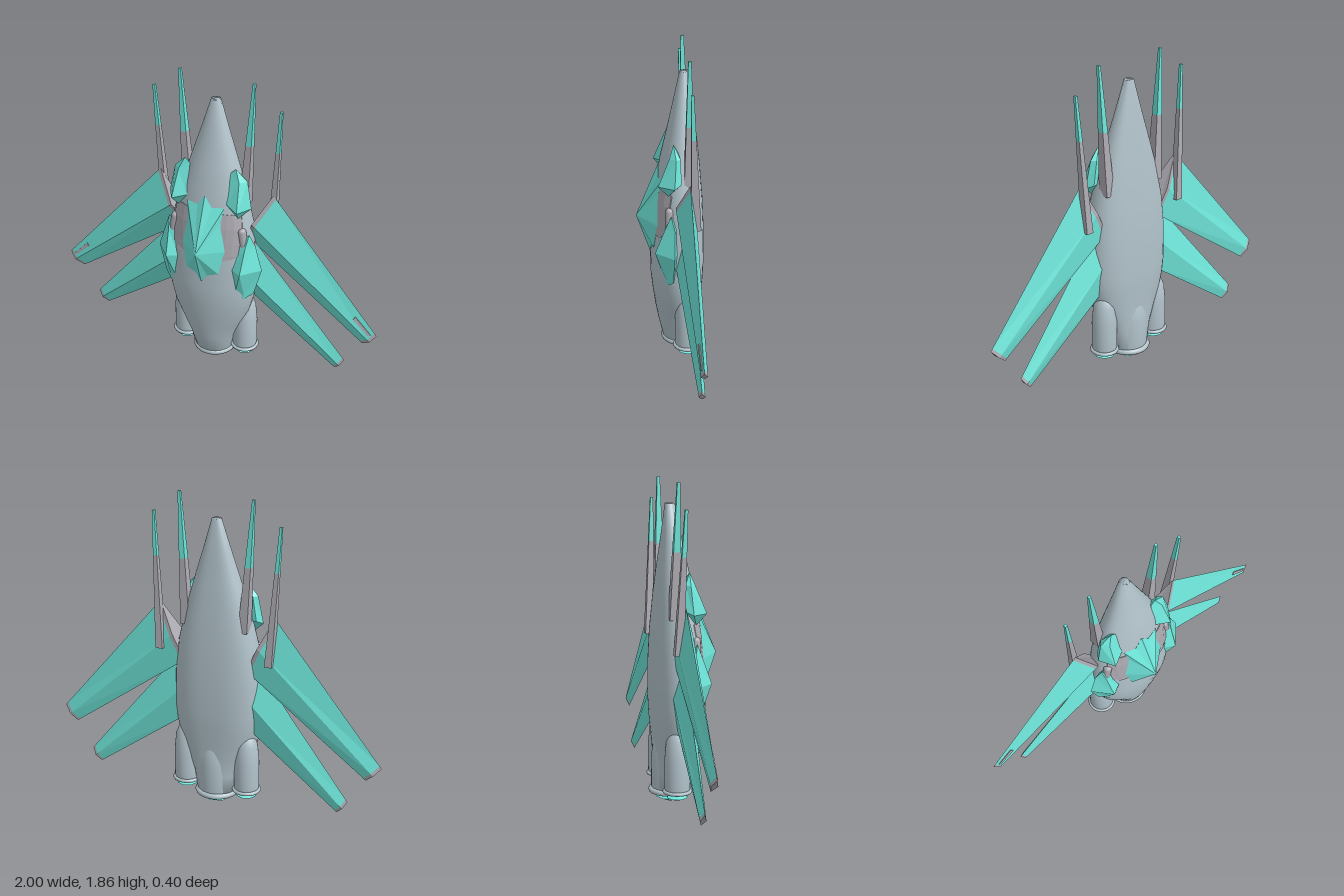
import * as THREE from 'three';

const V = (x, y, z) => new THREE.Vector3(x, y, z);
const material = (name, color) => {
  const m = new THREE.MeshStandardMaterial({ color });
  m.name = name;
  return m;
};

// Skins a series of equal-length rings, closes both ends and turns the faces outward.
function loft(rings, smooth = false) {
  const n = rings[0].length;
  const pts = rings.flat();
  let tris = [];
  for (let r = 0; r < rings.length - 1; r++) {
    for (let i = 0; i < n; i++) {
      const a = r * n + i, b = r * n + (i + 1) % n;
      tris.push([a, b, b + n], [a, b + n, a + n]);
    }
  }
  const last = (rings.length - 1) * n;
  for (let i = 1; i < n - 1; i++) tris.push([0, i + 1, i], [last, last + i, last + i + 1]);
  const same = (a, b) => pts[a].distanceToSquared(pts[b]) < 1e-12;
  tris = tris.filter(([a, b, c]) => !same(a, b) && !same(b, c) && !same(a, c));
  const centre = pts.reduce((s, p) => s.add(p), V(0, 0, 0)).divideScalar(pts.length);
  let volume = 0;
  for (const t of tris) {
    const [a, b, c] = t.map(i => pts[i].clone().sub(centre));
    volume += a.dot(b.cross(c));
  }
  if (volume < 0) tris.forEach(t => t.reverse());
  let g = new THREE.BufferGeometry().setFromPoints(pts);
  g.setIndex(tris.flat());
  if (!smooth) g = g.toNonIndexed();
  g.computeVertexNormals();
  return g;
}

// Hull stations: y, half width, front z, back z.
const stations = [
  [0.07, 0.11, 0.045, -0.17], [0.2, 0.14, 0.075, -0.165], [0.3, 0.185, 0.093, -0.165],
  [0.4, 0.23, 0.107, -0.17], [0.5, 0.255, 0.118, -0.178], [0.6, 0.265, 0.12, -0.182],
  [0.8, 0.26, 0.11, -0.182], [1.0, 0.237, 0.094, -0.173], [1.2, 0.19, 0.066, -0.157],
  [1.36, 0.14, 0.03, -0.14], [1.55, 0.08, -0.01, -0.117], [1.725, 0.027, -0.045, -0.098],
];
function station(y) {
  let k = 0;
  while (k < stations.length - 2 && stations[k + 1][0] < y) k++;
  const a = stations[k], b = stations[k + 1], t = (y - a[0]) / (b[0] - a[0]);
  return a.map((v, i) => v + (b[i] - v) * t);
}
function hullPoint(x, y, lift = 0) {
  const [, w, front, back] = station(y);
  const mid = (front + back) / 2;
  return V(x, y, mid + (front - mid) * Math.sqrt(Math.max(0, 1 - (x / w) ** 2)) + lift);
}

export function createModel() {
  const model = new THREE.Group();
  model.name = 'crystalShip';
  const hullGrey = material('hull grey', 0xb2c3cb);
  const teal = material('crystal teal', 0x6fe6da);
  const trim = material('trim grey', 0xaeacb3);
  const add = (name, geometry, mat, x = 0, y = 0, z = 0) => {
    const m = new THREE.Mesh(geometry, mat);
    m.name = name;
    m.position.set(x, y, z);
    model.add(m);
    return m;
  };
  // Faceted gem: one or more rings between a top and a bottom point.
  const gem = (name, top, rings, bottom) => {
    const n = rings[0].length;
    add(name, loft([Array(n).fill(top), ...rings, Array(n).fill(bottom)]), teal);
  };

  // Hull, rounder in front and flatter behind
  const rings = stations.map(([y, w, front, back]) => {
    const mid = (front + back) / 2, depth = (front - back) / 2;
    return Array.from({ length: 40 }, (_, i) => {
      const a = i / 40 * Math.PI * 2, c = Math.cos(a), s = Math.sin(a);
      const cx = s < 0 ? Math.sign(c) * Math.abs(c) ** 0.75 : c;
      return V(cx * w, y, mid + depth * (s < 0 ? -(Math.abs(s) ** 0.85) : s));
    });
  });
  add('hull', loft(rings, true), hullGrey);
  add('noseCap', new THREE.CylinderGeometry(0.024, 0.027, 0.006, 24), hullGrey, 0, 1.722, -0.0715);

  // Engines with rim, nozzle and crystal
  const engine = (name, x, z, r, y0, y1, gemR, gemY, gemH) => {
    const profile = [[0, y0 + 0.02], [r * 0.75, y0 + 0.02], [r * 0.9, y0], [r, y0 + 0.03],
      [r, y0 + (y1 - y0) * 0.5], [r * 0.86, y0 + (y1 - y0) * 0.78],
      [r * 0.5, y0 + (y1 - y0) * 0.95], [0, y1]];
    add(name + 'Body', new THREE.LatheGeometry(profile.map(p => new THREE.Vector2(...p)), 28), hullGrey, x, 0, z);
    const rim = new THREE.TorusGeometry(r, r * 0.15, 8, 32).rotateX(Math.PI / 2);
    add(name + 'Rim', rim, hullGrey, x, y0 + 0.01, z);
    const ring = Array.from({ length: 8 }, (_, i) => {
      const a = i / 8 * Math.PI * 2;
      return V(x + gemR * Math.cos(a), gemY, z + gemR * Math.sin(a));
    });
    gem(name + 'Crystal', V(x, gemY + gemH, z), [ring], V(x, gemY - gemH, z));
  };
  engine('mainEngine', 0, -0.07, 0.112, 0.067, 0.47, 0.087, 0.036, 0.036);

  // Canopy crystal with a jagged rim, over a darker collar that follows the hull
  const half = [[0.045, 1.125], [0.115, 1.13], [0.1, 1.04], [0.132, 0.86], [0.1, 0.71], [0.035, 0.69]];
  const outline = [[0, 1.19], ...half, [0, 0.64], ...half.map(([x, y]) => [-x, y]).reverse()];
  gem('canopyCrystal', V(0, 0.87, 0.2), [outline.map(([x, y]) => hullPoint(x, y, 0.004))], V(0, 0.9, 0));

  const lerp = (A, B, t) => A.map((p, i) => p.clone().lerp(B[i], t));
  for (const s of [1, -1]) {
    const side = s > 0 ? 'left' : 'right';
    const P = (x, y, z) => V(s * x, y, z);

    engine(side + 'Engine', s * 0.19, -0.08, 0.073, 0.11, 0.49, 0.06, 0.084, 0.022);

    // Collar strip beside the canopy
    const collar = [[0.8, 0.16], [0.83, 0.2], [0.9, 0.205], [1.0, 0.21], [1.07, 0.2], [1.09, 0.15]];
    const strips = collar.map(([y, edge]) => {
      const xs = [0, 0.25, 0.5, 0.75, 1].map(t => 0.06 + (edge - 0.06) * t);
      const face = lift => xs.map(x => {
        const p = hullPoint(x, y, lift);
        return P(p.x, p.y, p.z);
      });
      return [...face(0.004), ...face(-0.004).reverse()];
    });
    add(side + 'Collar', loft(strips), trim);

    // Small rounded intake
    const intake = new THREE.CapsuleGeometry(0.024, 0.1, 6, 12);
    add(side + 'Intake', intake, trim, s * 0.215, 0.93, 0.025).rotation.z = s * 0.15;

    // Shoulder and flank crystals
    gem(side + 'ShoulderCrystal', P(0.155, 1.36, 0), [
      [P(0.222, 1.29, -0.01), P(0.185, 1.29, 0.024), P(0.125, 1.33, 0), P(0.14, 1.3, -0.03), P(0.2, 1.29, -0.035)],
      [P(0.252, 1.13, 0), P(0.2, 1.13, 0.088), P(0.122, 1.15, 0.05), P(0.14, 1.15, -0.03), P(0.225, 1.15, -0.04)],
    ], P(0.185, 1.065, 0.03));
    gem(side + 'FlankCrystal', P(0.25, 0.97, 0.02), [
      [P(0.28, 0.89, 0), P(0.24, 0.89, 0.052), P(0.19, 0.88, 0.045), P(0.2, 0.88, -0.02)],
      [P(0.325, 0.74, 0.005), P(0.232, 0.74, 0.108), P(0.17, 0.74, 0.075), P(0.2, 0.74, -0.03)],
      [P(0.28, 0.57, 0.01), P(0.235, 0.57, 0.045), P(0.185, 0.57, 0.06), P(0.2, 0.57, -0.01)],
    ], P(0.23, 0.53, 0.04));

    // Wings: diamond sections of leading edge, front ridge, trailing edge, back ridge
    const wing = (name, root, tip) => {
      add(name + 'Root', loft([root, lerp(root, tip, 0.025)]), trim);
      add(name + 'Blade', loft([lerp(root, tip, 0.025), lerp(root, tip, 0.98)]), teal);
      add(name + 'Tip', loft([lerp(root, tip, 0.98), tip]), trim);
    };
    const upperRoot = [P(0.35, 1.2, -0.075), P(0.25, 1.02, -0.005), P(0.19, 0.87, -0.1), P(0.26, 1.02, -0.115)];
    const upperTip = [P(1, 0.43, -0.09), P(0.965, 0.385, -0.075), P(0.915, 0.345, -0.1), P(0.96, 0.385, -0.113)];
    wing(side + 'UpperWing', upperRoot, upperTip);
    wing(side + 'LowerWing',
      [P(0.25, 0.88, -0.06), P(0.2, 0.7, 0), P(0.19, 0.52, -0.09), P(0.2, 0.7, -0.115)],
      [P(0.815, 0.185, -0.1), P(0.79, 0.145, -0.085), P(0.755, 0.11, -0.105), P(0.79, 0.145, -0.12)]);

    // Thin streak near the upper wing tip
    const streak = [0.83, 0.97].map(t => {
      const [lead, ridge] = lerp(upperRoot, upperTip, t);
      const at = (u, dz) => lead.clone().lerp(ridge, u).add(V(0, 0, dz));
      return [at(0.4, 0.004), at(0.65, 0.004), at(0.65, -0.004), at(0.4, -0.004)];
    });
    add(side + 'WingStreak', loft(streak), trim);

    // Spires: tapered blades with crystal points
    const spire = (name, base, tip, w, d, split) => {
      const square = (p, hx, hz) => [[hx, hz], [-hx, hz], [-hx, -hz], [hx, -hz]]
        .map(([x, z]) => V(p.x + x, p.y, p.z + z));
      const A = square(base, w, d), B = square(tip, 0.007, 0.008), M = lerp(A, B, split);
      add(name + 'Shaft', loft([A, M]), trim);
      add(name + 'Point', loft([M, B]), teal);
    };
    spire(side + 'InnerSpire', P(0.175, 1.1, -0.09), P(0.22, 1.855, -0.08), 0.028, 0.034, 0.5);
    spire(side + 'OuterSpire', P(0.335, 0.93, -0.11), P(0.38, 1.725, -0.08), 0.022, 0.026, 0.68);
  }
  return model;
}
